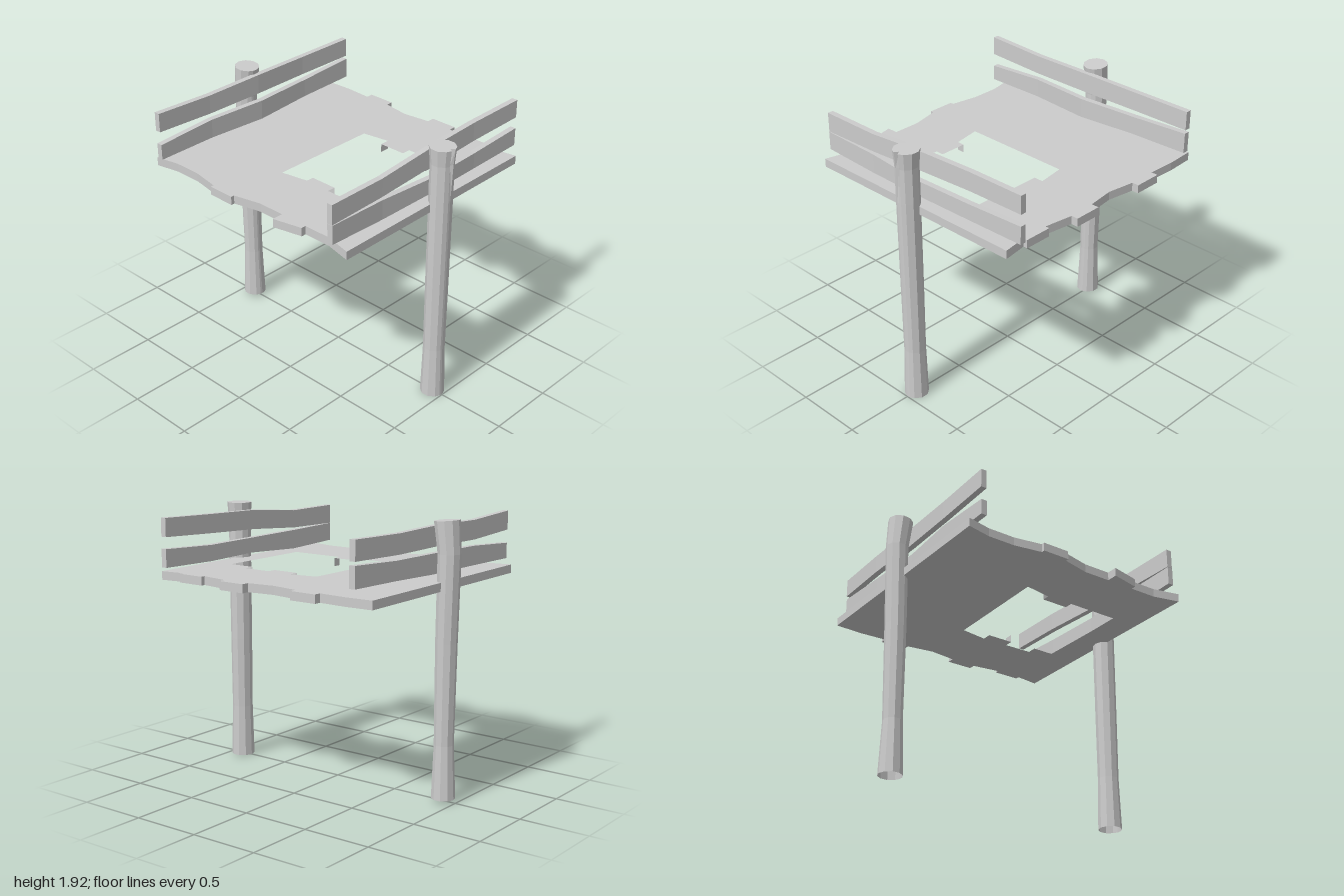
import * as THREE from 'three';

const material = new THREE.MeshStandardMaterial({ color: 0xcccccc, flatShading: true });
const openMaterial = new THREE.MeshStandardMaterial({ color: 0xcccccc, flatShading: true, side: THREE.DoubleSide });

function addMesh(group, name, geometry, mat = material) {
  const mesh = new THREE.Mesh(geometry, mat);
  mesh.name = name;
  group.add(mesh);
}

// Platform with ragged plank ends and a hatch; outlines are [x, z]
function platform() {
  const outline = [
    [-0.865, -0.885], [0.85, -0.915], [0.86, -0.71], [0.85, -0.51], [0.9, -0.51], [0.9, -0.31],
    [0.85, -0.31], [0.82, -0.11], [0.845, 0.09], [0.9, 0.09], [0.9, 0.29], [0.85, 0.29],
    [0.82, 0.5], [0.85, 0.5], [0.85, 0.7], [0.82, 0.7], [0.845, 0.875], [-0.865, 0.895],
    [-0.82, 0.7], [-0.82, 0.5], [-0.855, 0.5], [-0.9, 0.29], [-0.82, 0.29], [-0.82, 0.09],
    [-0.865, -0.11], [-0.89, -0.11], [-0.89, -0.31], [-0.865, -0.31], [-0.83, -0.51], [-0.83, -0.71],
  ];
  const hatch = [
    [-0.43, -0.11], [0.38, -0.11], [0.41, 0.09], [0.34, 0.09], [0.34, 0.29], [0.405, 0.29],
    [0.4, 0.5], [0.33, 0.5], [0.33, 0.7], [-0.4, 0.7], [-0.4, 0.29], [-0.34, 0.29],
    [-0.34, 0.09], [-0.395, 0.09],
  ];
  const points = (list) => list.map(([x, z]) => new THREE.Vector2(x, -z));
  const shape = new THREE.Shape(points(outline));
  shape.holes.push(new THREE.Path(points(hatch)));
  return new THREE.ExtrudeGeometry(shape, { depth: 0.06, bevelEnabled: false })
    .rotateX(-Math.PI / 2)
    .translate(0, 1.455, 0);
}

// Warped board: bottom height, top height and z at evenly spaced stations
function rail(bottoms, tops, depths) {
  const n = bottoms.length - 1;
  const geometry = new THREE.BoxGeometry(1.81, 1, 0.042, n, 1, 1);
  const p = geometry.attributes.position;
  for (let i = 0; i < p.count; i++) {
    const s = Math.round((p.getX(i) / 1.81 + 0.5) * n);
    p.setY(i, p.getY(i) > 0 ? tops[s] : bottoms[s]);
    p.setZ(i, p.getZ(i) + depths[s]);
  }
  return geometry;
}

// Log post from rings [y, radius, z, crack depth], capped on top, open below
function post(rings, tilt) {
  const angles = [0, 0.22];
  for (let i = 1; i < 10; i++) angles.push((i * Math.PI) / 5);
  angles.push(Math.PI * 2 - 0.22);
  const n = angles.length;
  const positions = [];
  const index = [];
  rings.forEach(([y, r, z, crack], k) => {
    angles.forEach((a, j) => {
      const rr = r - (j === 0 ? crack : 0);
      const lift = k === rings.length - 1 ? -tilt * Math.cos(a) : 0;
      positions.push(Math.sin(a) * rr, y + lift, z + Math.cos(a) * rr);
    });
  });
  for (let k = 0; k < rings.length - 1; k++) {
    for (let j = 0; j < n; j++) {
      const a = k * n + j, b = k * n + ((j + 1) % n);
      index.push(a, b, b + n, a, b + n, a + n);
    }
  }
  const top = rings[rings.length - 1];
  const centre = positions.length / 3;
  positions.push(0, top[0], top[2]);
  for (let j = 0; j < n; j++) index.push(centre - n + j, centre - n + ((j + 1) % n), centre);
  const geometry = new THREE.BufferGeometry();
  geometry.setAttribute('position', new THREE.Float32BufferAttribute(positions, 3));
  geometry.setIndex(index);
  geometry.computeVertexNormals();
  return geometry;
}

export function createModel() {
  const model = new THREE.Group();
  model.name = 'lookoutPlatform';
  addMesh(model, 'platform', platform());

  // Railings
  addMesh(model, 'frontUpperRail', rail(
    [1.68, 1.69, 1.725, 1.745, 1.765], [1.82, 1.82, 1.865, 1.88, 1.895], [0.79, 0.785, 0.79, 0.78, 0.79]));
  addMesh(model, 'frontLowerRail', rail(
    [1.545, 1.53, 1.55, 1.545, 1.555], [1.678, 1.67, 1.66, 1.66, 1.683], [0.792, 0.79, 0.814, 0.795, 0.792]));
  addMesh(model, 'backUpperRail', rail(
    [1.755, 1.735, 1.74, 1.74, 1.75], [1.89, 1.87, 1.88, 1.875, 1.885], [-0.803, -0.81, -0.803, -0.815, -0.803]));
  addMesh(model, 'backLowerRail', rail(
    [1.55, 1.555, 1.55, 1.57, 1.58], [1.66, 1.69, 1.69, 1.7, 1.725], [-0.8, -0.8, -0.776, -0.795, -0.8]));

  // Posts
  addMesh(model, 'frontPost', post([
    [0, 0.085, 0.91, 0], [0.38, 0.075, 0.908, 0], [0.9, 0.078, 0.908, 0],
    [1.55, 0.08, 0.908, 0], [1.8, 0.08, 0.908, 0.015], [1.915, 0.09, 0.908, 0.03],
  ], 0), openMaterial);
  addMesh(model, 'backPost', post([
    [0.02, 0.083, -0.902, 0], [0.4, 0.068, -0.9, 0], [1.1, 0.075, -0.906, 0],
    [1.7, 0.079, -0.918, 0], [1.918, 0.088, -0.897, 0],
  ], 0.007), openMaterial);
  return model;
}
